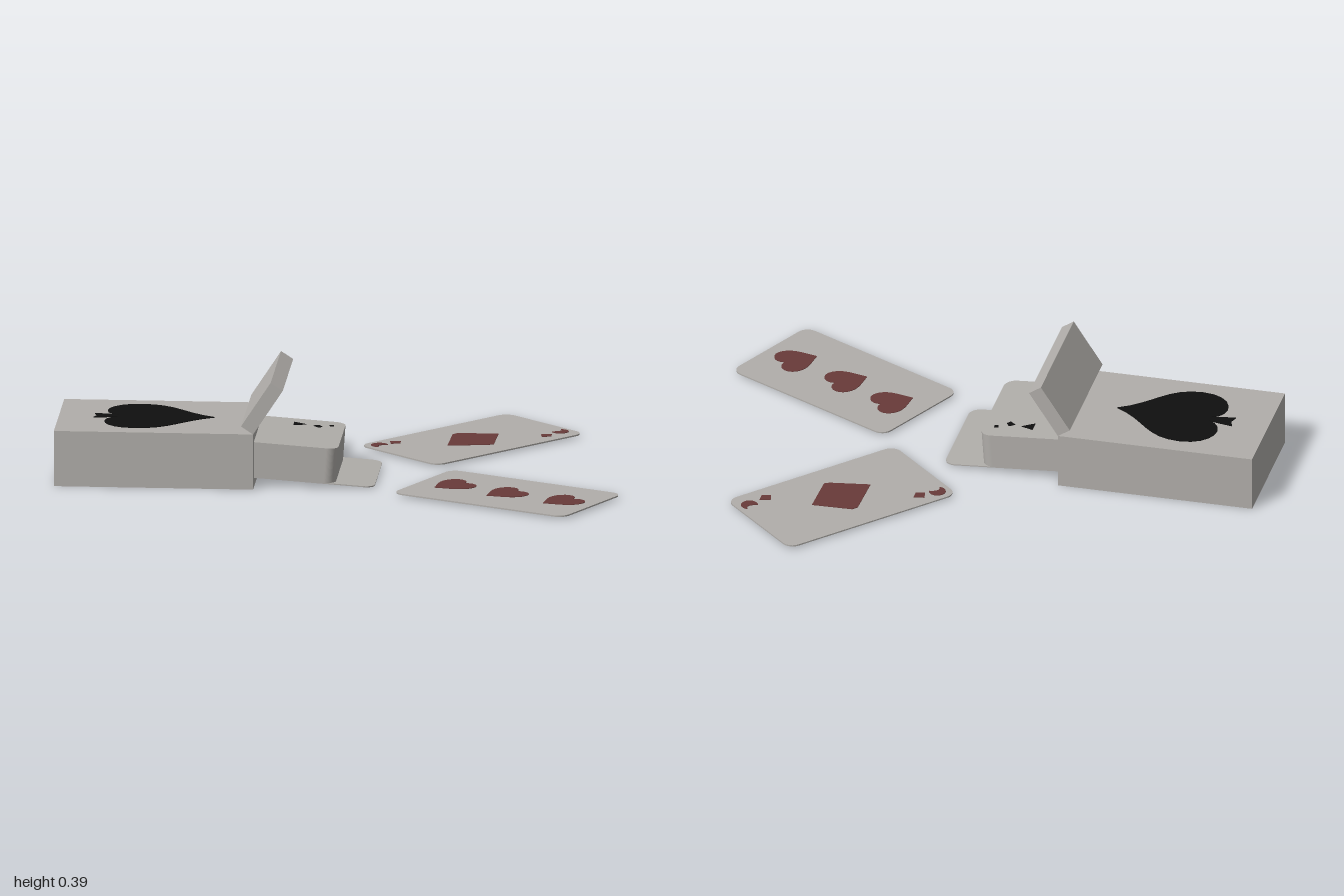
import * as THREE from 'three';

const paper = new THREE.MeshStandardMaterial({ color: 0xb1aeaa });
paper.name = 'paper grey';
const red = new THREE.MeshStandardMaterial({ color: 0x683a39 });
red.name = 'dark red';
const black = new THREE.MeshStandardMaterial({ color: 0x0f0f0f });
black.name = 'ink black';

const CARD_L = 0.705, CARD_W = 0.404, MID_Z = 0.147;

function add(parent, name, geometry, material, x = 0, y = 0, z = 0) {
  const mesh = new THREE.Mesh(geometry, material);
  mesh.name = name;
  mesh.position.set(x, y, z);
  parent.add(mesh);
  return mesh;
}

function group(parent, name, x, y, z) {
  const g = new THREE.Group();
  g.name = name;
  g.position.set(x, y, z);
  parent.add(g);
  return g;
}

// Lies a shape flat, growing upwards from y = 0 (shape y becomes -z)
function slab(shape, depth) {
  return new THREE.ExtrudeGeometry(shape, { depth, bevelEnabled: false, curveSegments: 8 }).rotateX(-Math.PI / 2);
}

function rectPath(Type, x0, x1, y0, y1) {
  return new Type([[x0, y0], [x1, y0], [x1, y1], [x0, y1]].map(p => new THREE.Vector2(...p)));
}

function frameShape(outer, inner) {
  const s = rectPath(THREE.Shape, ...outer);
  s.holes.push(rectPath(THREE.Path, ...inner));
  return s;
}

function roundedCard(r = 0.04) {
  const a = CARD_L / 2 - r, b = CARD_W / 2 - r, q = Math.PI / 2;
  const s = new THREE.Shape();
  s.absarc(a, b, r, 0, q);
  s.absarc(-a, b, r, q, 2 * q);
  s.absarc(-a, -b, r, 2 * q, 3 * q);
  s.absarc(a, -b, r, 3 * q, 4 * q);
  s.closePath();
  return s;
}

// Polygon given in x, z pairs
function polygon(points) {
  return new THREE.Shape(points.map(([x, z]) => new THREE.Vector2(x, -z)));
}

// Heart with its tip towards -x
function heartShape(k) {
  const s = new THREE.Shape();
  s.moveTo(-0.55 * k, 0);
  for (const d of [1, -1]) {
    if (d === 1) {
      s.bezierCurveTo(-0.3 * k, 0.25 * k, -0.15 * k, 0.52 * k, 0.15 * k, 0.52 * k);
      s.bezierCurveTo(0.5 * k, 0.52 * k, 0.55 * k, 0.1 * k, 0.28 * k, 0);
    } else {
      s.bezierCurveTo(0.55 * k, -0.1 * k, 0.5 * k, -0.52 * k, 0.15 * k, -0.52 * k);
      s.bezierCurveTo(-0.15 * k, -0.52 * k, -0.3 * k, -0.25 * k, -0.55 * k, 0);
    }
  }
  return s;
}

// Spade with its tip towards +x, origin at the tip
function spadeShape() {
  const s = new THREE.Shape();
  s.moveTo(0, 0);
  s.bezierCurveTo(-0.12, 0.06, -0.14, 0.178, -0.27, 0.178);
  s.bezierCurveTo(-0.39, 0.178, -0.42, 0.04, -0.335, 0.012);
  s.lineTo(-0.37, 0.02);
  s.lineTo(-0.425, 0.03);
  s.lineTo(-0.415, 0);
  s.lineTo(-0.425, -0.03);
  s.lineTo(-0.37, -0.02);
  s.lineTo(-0.335, -0.012);
  s.bezierCurveTo(-0.42, -0.04, -0.39, -0.178, -0.27, -0.178);
  s.bezierCurveTo(-0.14, -0.178, -0.12, -0.06, 0, 0);
  return s;
}

// Small crescent used as a corner mark
function crescentShape(r) {
  const s = new THREE.Shape();
  s.absarc(0, 0, r, 0.2, Math.PI * 1.5);
  s.quadraticCurveTo(-r * 0.5, 0, r * 0.98, r * 0.2);
  return s;
}

export function createModel() {
  const model = new THREE.Group();
  model.name = 'playingCards';

  // Open carton: sleeve along x plus a closed end
  const carton = group(model, 'carton', 0, 0, MID_Z);
  const sleeve = new THREE.ExtrudeGeometry(
    frameShape([-0.243, 0.243, 0, 0.2], [-0.208, 0.208, 0.032, 0.166]),
    { depth: 0.665, bevelEnabled: false }).rotateY(Math.PI / 2);
  add(carton, 'cartonSleeve', sleeve, paper, -0.96);
  add(carton, 'cartonEnd', new THREE.BoxGeometry(0.04, 0.2, 0.486), paper, -0.98, 0.1);
  add(carton, 'cartonSpade', slab(spadeShape(), 0.004), black, -0.45, 0.199);

  // Raised lid with a recess on its inner face
  const lid = group(model, 'lid', -0.295, 0.2, MID_Z);
  lid.rotation.z = 0.99;
  add(lid, 'lidRim', slab(frameShape([0, 0.191, -0.243, 0.243], [0.03, 0.161, -0.208, 0.208]), 0.035), paper);
  add(lid, 'lidTop', new THREE.BoxGeometry(0.191, 0.0165, 0.486), paper, 0.0955, 0.04325);

  // Tilted deck sliding out, with one card pulled further
  const deck = group(model, 'deck', -0.008, 0.017, MID_Z);
  deck.rotation.z = -0.07;
  add(deck, 'deckBlock', slab(roundedCard(), 0.125), paper, -CARD_L / 2);
  add(deck, 'pulledCard', slab(roundedCard(), 0.004), paper, 0.138 - CARD_L / 2, -0.004);
  const pips = [
    [[-0.18, -0.145], [-0.135, -0.125], [-0.18, -0.1]],
    [[-0.11, -0.115], [-0.09, -0.128], [-0.078, -0.108], [-0.09, -0.096]],
    [[-0.055, -0.14], [-0.04, -0.144], [-0.038, -0.128], [-0.052, -0.126]],
  ];
  for (const p of pips) add(deck, 'deckMark', slab(polygon(p), 0.003), black, 0, 0.124);

  // Loose card with a diamond
  const diamondCard = group(model, 'diamondCard', 0.42, 0.008, -0.38);
  add(diamondCard, 'cardSheet', slab(roundedCard(), 0.005), paper).rotation.y = 0.818;
  const diamond = polygon([[-0.073, -0.06], [-0.058, -0.078], [0.088, -0.082], [0.083, 0.075], [0.065, 0.085], [-0.078, 0.107]]);
  add(diamondCard, 'diamond', slab(diamond, 0.003), red, 0, 0.004);
  for (const [x, z, turn] of [[-0.318, 0.118, 0], [0.302, -0.135, Math.PI]]) {
    add(diamondCard, 'cornerMark', slab(crescentShape(0.03), 0.003), red, x, 0.004, z).rotation.y = turn;
  }
  for (const [x, z] of [[-0.265, 0.075], [0.258, -0.07]]) {
    const small = polygon([[-0.02, -0.012], [0.018, -0.02], [0.018, 0.012], [-0.014, 0.02]]);
    add(diamondCard, 'smallDiamond', slab(small, 0.003), red, x, 0.004, z);
  }

  // Loose card with three hearts
  const heartCard = group(model, 'heartCard', 0.607, 0.008, 0.428);
  add(heartCard, 'cardSheet', slab(roundedCard(), 0.005), paper).rotation.y = -0.468;
  for (const [x, z] of [[-0.197, -0.108], [-0.004, 0], [0.203, 0.1]]) {
    add(heartCard, 'heart', slab(heartShape(0.145), 0.003), red, x, 0.004, z).rotation.y = 0.6;
  }
  return model;
}
